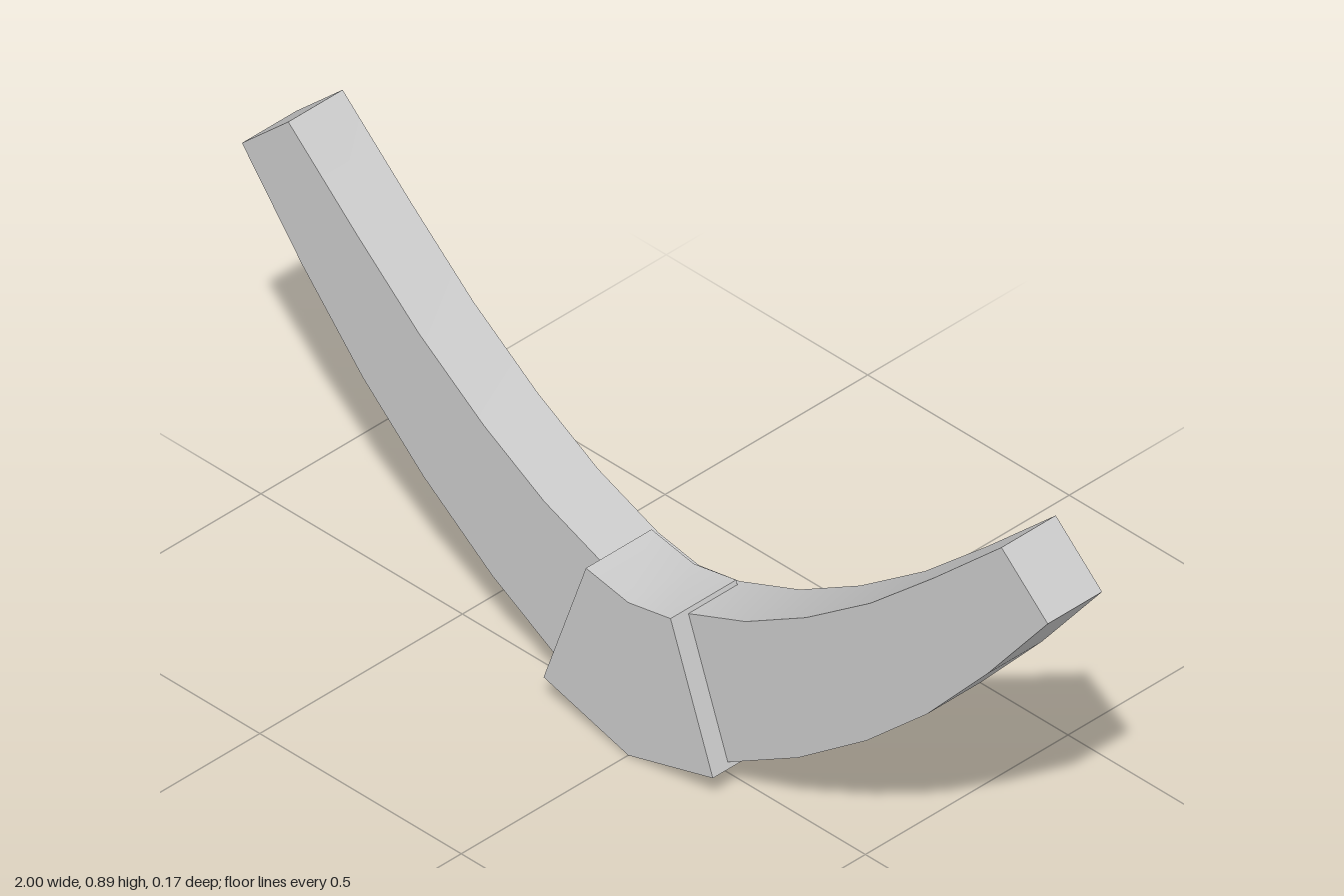
import * as THREE from 'three';
import { toCreasedNormals } from 'three/addons/utils/BufferGeometryUtils.js';

// Mirrors half outlines (centre outwards) and extrudes the closed shape from zBack to zFront
function mirroredSlab(lower, upper, zBack, zFront) {
  const half = [...lower, ...[...upper].reverse()];
  const mirrored = half.slice(1, -1).reverse().map(([x, y]) => [-x, y]);
  const shape = new THREE.Shape([...half, ...mirrored].map(([x, y]) => new THREE.Vector2(x, y)));
  const geometry = new THREE.ExtrudeGeometry(shape, { depth: zFront - zBack, bevelEnabled: false });
  geometry.translate(0, 0, zBack);
  return toCreasedNormals(geometry, 0.6);
}

export function createModel() {
  const group = new THREE.Group();
  group.name = 'curvedBeamWithClasp';
  const grey = new THREE.MeshStandardMaterial({ color: 0xcacaca });
  grey.name = 'light grey';

  // Curved beam, tapering towards both raised ends
  const beam = new THREE.Mesh(mirroredSlab(
    [[0, 0.012], [0.2, 0.068], [0.38, 0.172], [0.55, 0.298], [0.7, 0.434], [0.85, 0.6], [1, 0.787]],
    [[0, 0.322], [0.1, 0.34], [0.25, 0.4], [0.4, 0.487], [0.56, 0.602], [0.715, 0.737], [0.885, 0.893]],
    -0.087, 0.047), grey);
  beam.name = 'curvedBeam';

  // Wedge-shaped clasp wrapping the middle and standing proud at the front
  const clasp = new THREE.Mesh(mirroredSlab(
    [[0, 0], [0.21, 0.06]],
    [[0, 0.332], [0.105, 0.352]],
    -0.074, 0.088), grey);
  clasp.name = 'centreClasp';

  group.add(beam, clasp);
  return group;
}
